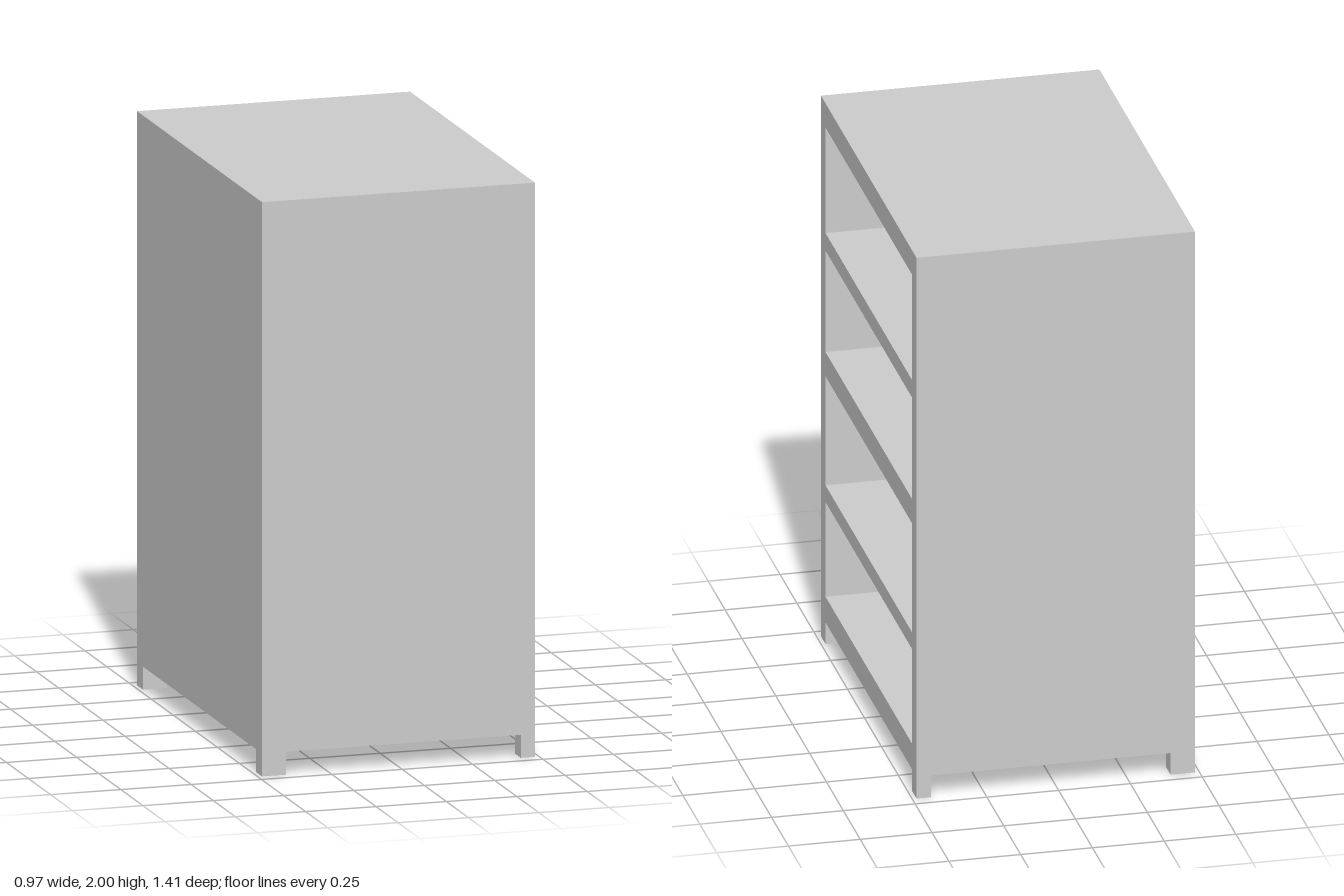
import * as THREE from 'three';

const HALF_X = 0.485, HALF_Z = 0.707, BOTTOM = 0.08, TOP = 2;
const INNER_Z = 0.64, BACK_X = -0.4;
// bottom and top height of each open compartment
const OPENINGS = [[0.175, 0.525], [0.587, 0.99], [1.08, 1.455], [1.52, 1.91]];

const rectangle = (path, halfWidth, y0, y1) => {
  path.moveTo(-halfWidth, y0);
  path.lineTo(halfWidth, y0);
  path.lineTo(halfWidth, y1);
  path.lineTo(-halfWidth, y1);
  path.closePath();
  return path;
};

export function createModel() {
  const group = new THREE.Group();
  group.name = 'shelfCabinet';
  const material = new THREE.MeshStandardMaterial({ color: 0xcccccc });

  const add = (name, geometry) => {
    const mesh = new THREE.Mesh(geometry, material);
    mesh.name = name;
    group.add(mesh);
  };
  const addBox = (name, x0, x1, y0, y1, z0, z1) => {
    const box = new THREE.BoxGeometry(x1 - x0, y1 - y0, z1 - z0);
    box.translate((x0 + x1) / 2, (y0 + y1) / 2, (z0 + z1) / 2);
    add(name, box);
  };

  // carcass with shelves, open towards +x
  const outline = rectangle(new THREE.Shape(), HALF_Z, BOTTOM, TOP);
  for (const [y0, y1] of OPENINGS) {
    outline.holes.push(rectangle(new THREE.Path(), INNER_Z, y0, y1));
  }
  const carcass = new THREE.ExtrudeGeometry(outline, { depth: HALF_X - BACK_X, bevelEnabled: false });
  carcass.rotateY(Math.PI / 2);
  carcass.translate(BACK_X, 0, 0);
  add('carcassWithShelves', carcass);

  // closed wall behind the compartments
  addBox('backPanel', -HALF_X, BACK_X, BOTTOM, TOP, -HALF_Z, HALF_Z);

  // short corner legs, deeper on the closed side
  for (const [z0, z1, end] of [[INNER_Z, HALF_Z, 'Front'], [-HALF_Z, -INNER_Z, 'Back']]) {
    addBox('rightLeg' + end, -HALF_X, BACK_X, 0, BOTTOM, z0, z1);
    addBox('leftLeg' + end, 0.435, HALF_X, 0, BOTTOM, z0, z1);
  }
  return group;
}
